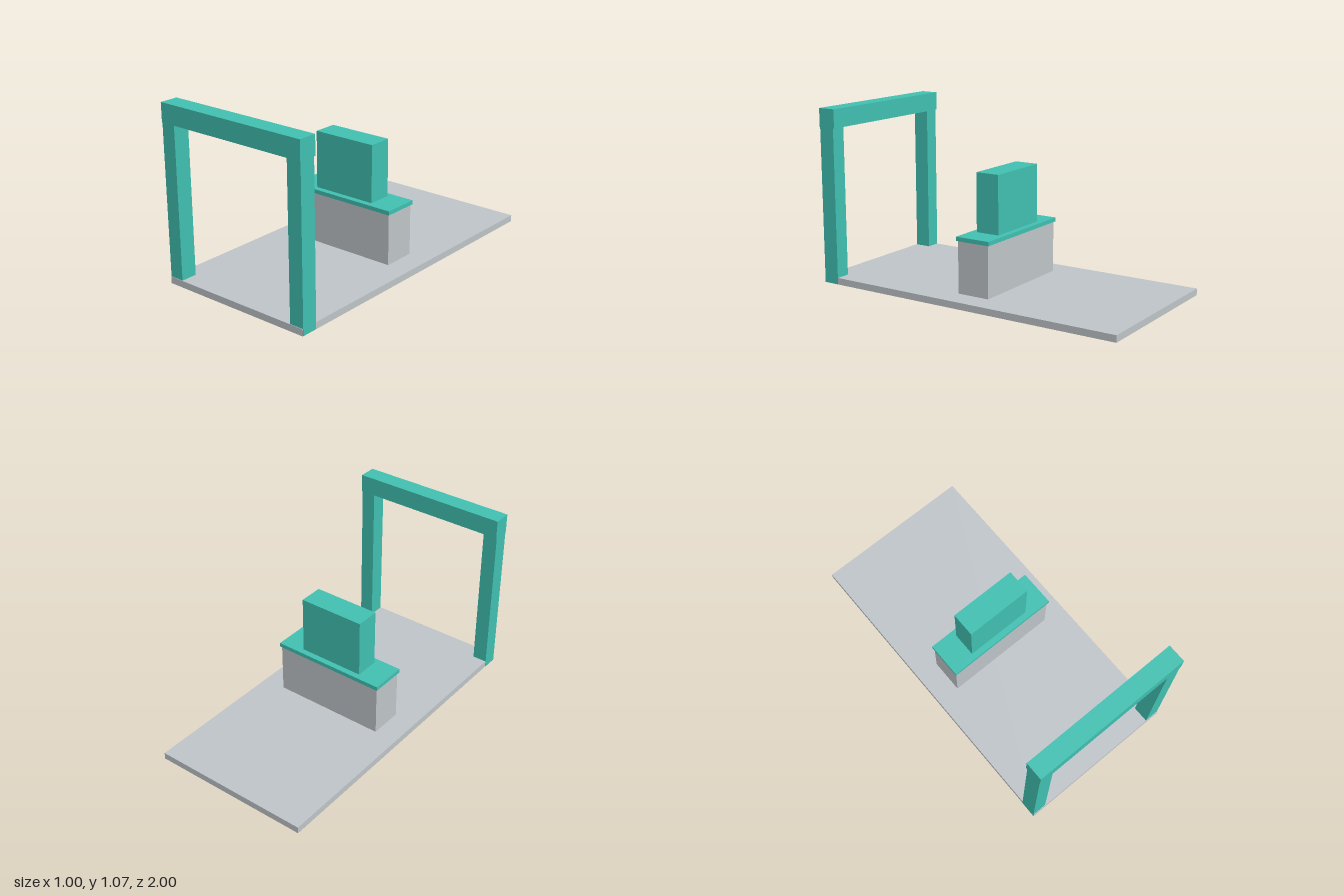
import * as THREE from 'three';

export function createModel() {
  const model = new THREE.Group();
  model.name = 'gateAndPedestal';

  const teal = new THREE.MeshStandardMaterial({ color: 0x40bfb0 });
  teal.name = 'teal';
  const grey = new THREE.MeshStandardMaterial({ color: 0xbdc3c7 });
  grey.name = 'light grey';

  // Box given by its centre x, width, bottom, top, back and front
  function addBox(name, material, x, width, y0, y1, z0, z1) {
    const mesh = new THREE.Mesh(new THREE.BoxGeometry(width, y1 - y0, z1 - z0), material);
    mesh.position.set(x, (y0 + y1) / 2, (z0 + z1) / 2);
    mesh.name = name;
    model.add(mesh);
  }

  // Floor plate
  addBox('basePlate', grey, 0, 0.993, 0.001, 0.042, -1, 1);

  // Stepped pedestal in the middle
  addBox('pedestalBlock', grey, 0, 0.708, 0.042, 0.355, -0.103, 0.103);
  addBox('pedestalSlab', teal, 0, 0.724, 0.355, 0.38, -0.112, 0.112);
  addBox('pedestalTower', teal, 0, 0.415, 0.38, 0.733, -0.075, 0.075);

  // Gate at the front edge; its posts run through the plate
  addBox('leftPost', teal, 0.452, 0.091, 0.002, 0.952, 0.897, 0.997);
  addBox('rightPost', teal, -0.452, 0.091, 0, 0.952, 0.897, 0.997);
  addBox('topBeam', teal, 0, 0.996, 0.952, 1.066, 0.888, 1);

  return model;
}
